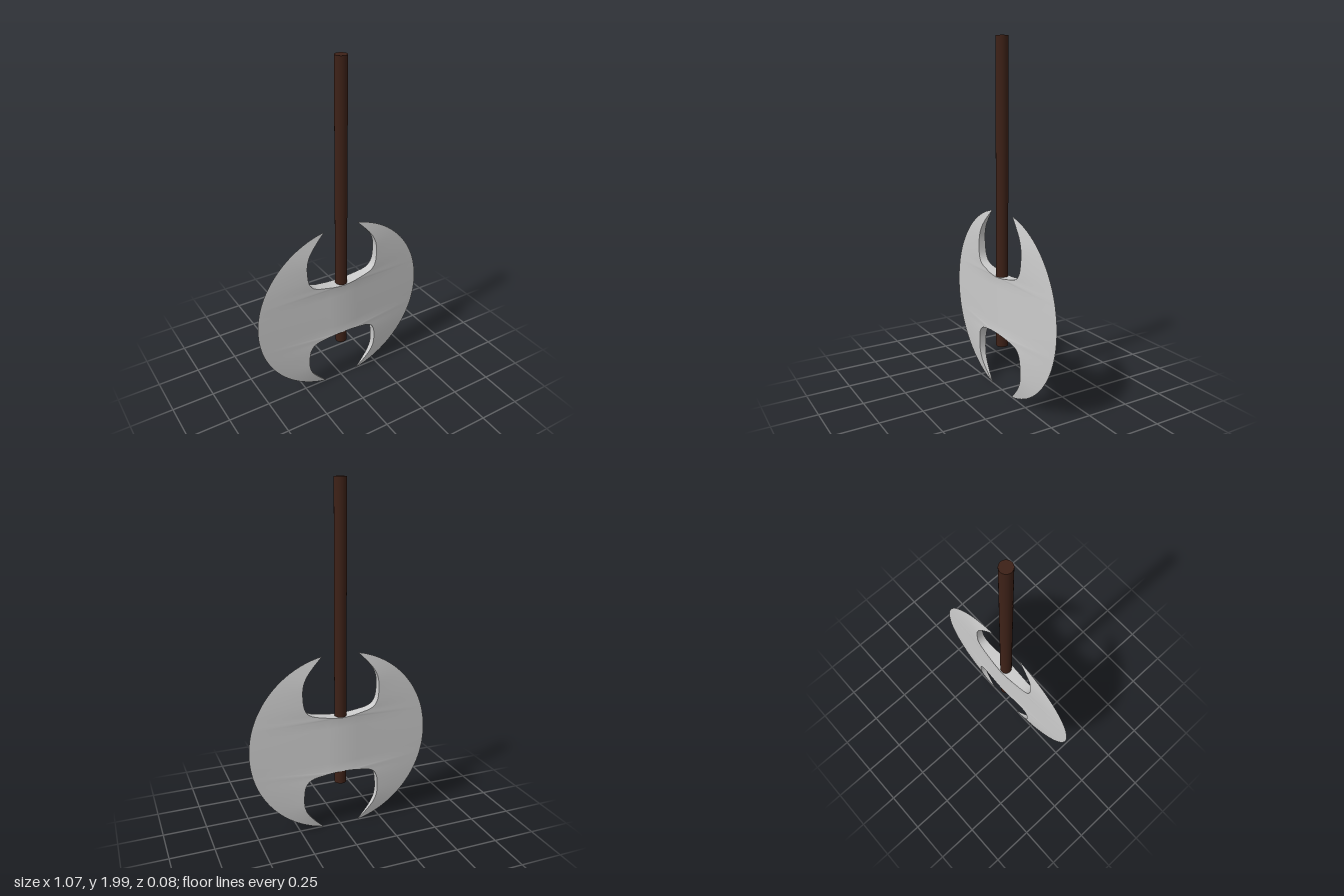
import * as THREE from 'three';
import { mergeGeometries, toCreasedNormals } from 'three/addons/utils/BufferGeometryUtils.js';

const RADIUS = 0.535; // cutting edge circle, also the height of its centre

// Inner outline of one blade quarter: x, y above centre, half thickness, angle of the matching edge point
const OUTLINE = [
  [0, 0.165, 0.039, 14],
  [0.06, 0.169, 0.036, 16],
  [0.12, 0.179, 0.031, 18.5],
  [0.17, 0.19, 0.027, 21],
  [0.2, 0.207, 0.025, 24],
  [0.219, 0.238, 0.0235, 28],
  [0.227, 0.29, 0.0215, 36],
  [0.225, 0.36, 0.0185, 47],
  [0.205, 0.413, 0.0145, 57],
  [0.165, 0.465, 0.009, 67],
  [0.107, 0.524, 0, 78.46],
];

// One quarter of the double blade: rows run from the inner outline out to the cutting edge
function bladeQuarter() {
  const inner = new THREE.CatmullRomCurve3(OUTLINE.map(([x, y, h]) => new THREE.Vector3(x, y, h)));
  const sweep = new THREE.CatmullRomCurve3(OUTLINE.map((p) => new THREE.Vector3(p[3], 0, 0)));
  const rows = [];
  const cols = 6;
  const samples = 30;
  const addRow = (start, degrees) => {
    const a = THREE.MathUtils.degToRad(degrees);
    const edge = new THREE.Vector3(Math.cos(a) * RADIUS, Math.sin(a) * RADIUS, 0);
    rows.push(Array.from({ length: cols + 1 }, (_, j) => start.clone().lerp(edge, j / cols)));
  };
  const bodyRows = 3;
  for (let i = 0; i < bodyRows; i++) {
    const t = i / bodyRows;
    addRow(new THREE.Vector3(0, 0.165 * t, 0.039), 14 * t);
  }
  for (let i = 0; i <= samples; i++) {
    addRow(inner.getPoint(i / samples), sweep.getPoint(i / samples).x);
  }

  const pos = [];
  const tri = (...pts) => pts.forEach((p) => pos.push(p.x, p.y, p.z));
  const quad = (a, b, c, d) => { tri(a, b, c); tri(a, c, d); };
  const back = (p) => new THREE.Vector3(p.x, p.y, -p.z);
  for (let i = 0; i < rows.length - 1; i++) {
    for (let j = 0; j < cols; j++) {
      const q = [rows[i][j], rows[i][j + 1], rows[i + 1][j + 1], rows[i + 1][j]];
      quad(...q); // front face
      quad(...q.map(back).reverse()); // back face
    }
    // wall along the inner outline
    if (i >= bodyRows) {
      const a = rows[i][0], b = rows[i + 1][0];
      quad(a, b, back(b), back(a));
    }
  }
  const geo = new THREE.BufferGeometry();
  geo.setAttribute('position', new THREE.Float32BufferAttribute(pos, 3));
  return geo;
}

export function createModel() {
  const model = new THREE.Group();
  model.name = 'doubleAxe';

  // Blade: the quarter repeated by half turns about each axis
  const quarter = bladeQuarter();
  const parts = [
    quarter,
    quarter.clone().rotateX(Math.PI),
    quarter.clone().rotateY(Math.PI),
    quarter.clone().rotateZ(Math.PI),
  ];
  const blade = new THREE.Mesh(
    toCreasedNormals(mergeGeometries(parts), 0.4),
    new THREE.MeshStandardMaterial({ color: 0xcccccc })
  );
  blade.name = 'doubleBlade';
  blade.position.y = RADIUS;
  model.add(blade);

  // Handle: a plain round shaft through the blade
  const handle = new THREE.Mesh(
    new THREE.CylinderGeometry(0.034, 0.034, 1.71, 32),
    new THREE.MeshStandardMaterial({ color: 0x3d2117 })
  );
  handle.name = 'handle';
  handle.position.y = 0.29 + 1.71 / 2;
  model.add(handle);

  return model;
}
